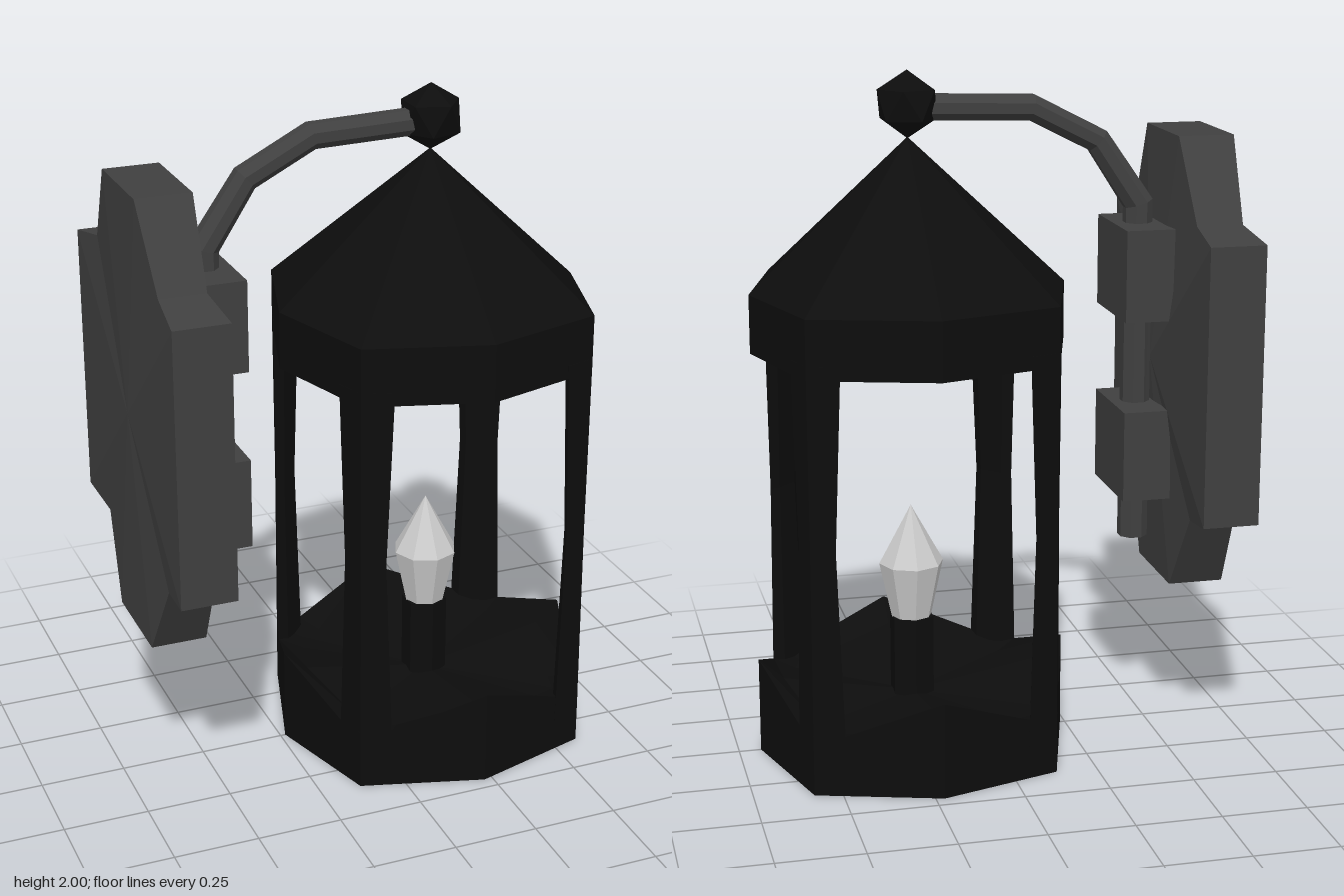
import * as THREE from 'three';

const V = (x, y, z) => new THREE.Vector3(x, y, z);
const mat = (color) => new THREE.MeshStandardMaterial({ color, flatShading: true });

// Skin a list of equal-length rings (counter-clockwise seen from the end), capped with fans
function loft(rings, startCentre, endCentre) {
  const pos = [];
  const tri = (...pts) => pts.forEach((p) => pos.push(p.x, p.y, p.z));
  const mean = (ring) => ring.reduce((s, p) => s.add(p), V(0, 0, 0)).divideScalar(ring.length);
  const first = rings[0], last = rings[rings.length - 1], n = first.length;
  const c0 = startCentre ?? mean(first), c1 = endCentre ?? mean(last);
  for (let i = 0; i < n; i++) {
    const j = (i + 1) % n;
    for (let k = 0; k + 1 < rings.length; k++) {
      const a = rings[k], b = rings[k + 1];
      tri(a[i], a[j], b[j]);
      tri(a[i], b[j], b[i]);
    }
    tri(first[j], first[i], c0);
    tri(last[i], last[j], c1);
  }
  const g = new THREE.BufferGeometry();
  g.setAttribute('position', new THREE.Float32BufferAttribute(pos, 3));
  g.computeVertexNormals();
  return g;
}

// Repeat quarter-plan corners [x, z, y] four times around the vertical axis
function around(quarter) {
  const ring = [];
  for (let q = 0; q < 4; q++) {
    for (const [x, z, y] of quarter) {
      ring.push([V(x, y, z), V(z, y, -x), V(-x, y, -z), V(-z, y, x)][q]);
    }
  }
  return ring;
}

export function createModel() {
  const model = new THREE.Group();
  const black = mat(0x0d0d0d), iron = mat(0x404040), glass = mat(0xcccccc);
  const add = (parent, name, geo, material, x = 0, y = 0, z = 0) => {
    const m = new THREE.Mesh(geo, material);
    m.name = name;
    m.position.set(x, y, z);
    parent.add(m);
    return m;
  };

  const lantern = new THREE.Group();
  lantern.name = 'lantern';
  lantern.position.x = 0.225;
  model.add(lantern);

  // Roof: pointed octagon above a straight rim
  const octagon = (y, s = 1) => around([[0.46 * s, 0, y], [0.355 * s, -0.355 * s, y]]);
  add(lantern, 'roof', loft([octagon(1.21), octagon(1.38), octagon(1.81, 0.005)]), black);

  // Base: wall rising to a peak midway between the posts, dished floor inside
  const plan = [[0.46, 0], [0.38, -0.27], [0.355, -0.355], [0.27, -0.38]];
  const baseRing = (s, peak, low) =>
    around(plan.map(([x, z], i) => [x * s, z * s, i === 0 ? peak : low]));
  add(lantern, 'base', loft(
    [baseRing(1, 0, 0), baseRing(1, 0.285, 0.18), baseRing(0.84, 0.22, 0.16)],
    V(0, 0, 0), V(0, 0.15, 0)), black);

  // Corner posts: wrapped around the corner, slimmer at mid height
  const section = [[0.383, -0.265], [0.355, -0.355], [0.265, -0.383], [0.275, -0.345], [0.345, -0.275]];
  const postRing = (y, s) => section.map(([x, z]) =>
    V(0.347 + (x - 0.347) * s, y, -0.347 + (z + 0.347) * s));
  const postGeo = loft([postRing(0.1, 1), postRing(0.72, 0.76), postRing(1.25, 1)]);
  for (let q = 0; q < 4; q++) {
    add(lantern, 'cornerPost', postGeo, black).rotation.y = q * Math.PI / 2;
  }

  // Candle holder and flame-shaped bulb
  add(lantern, 'bulbHolder', new THREE.CylinderGeometry(0.068, 0.068, 0.27, 6), black, 0, 0.255, 0);
  const bulbProfile = [[0, 0.38], [0.058, 0.38], [0.096, 0.555], [0, 0.73]];
  add(lantern, 'bulb',
    new THREE.LatheGeometry(bulbProfile.map(([r, y]) => new THREE.Vector2(r, y)), 8), glass);

  // Finial, standing on one corner
  const finial = new THREE.IcosahedronGeometry(0.096, 0);
  finial.rotateZ(-Math.atan(2 / (1 + Math.sqrt(5))));
  add(lantern, 'finial', finial, black, 0, 1.904, 0);

  // Bent arm: octagonal rod with mitred joints
  const path = [[-0.455, 0.59], [-0.455, 1.6], [-0.33, 1.785], [-0.135, 1.885], [0.2, 1.895]]
    .map(([x, y]) => new THREE.Vector2(x, y));
  const armRings = path.map((p, i) => {
    const before = p.clone().sub(path[Math.max(i - 1, 0)]).normalize();
    const after = path[Math.min(i + 1, path.length - 1)].clone().sub(p).normalize();
    const t = before.add(after).normalize();
    const r = i < 2 ? 0.045 : 0.04;
    return Array.from({ length: 8 }, (_, k) => {
      const a = (k + 0.5) * Math.PI / 4, c = r * Math.cos(a);
      return V(p.x + t.y * c, p.y - t.x * c, -r * Math.sin(a));
    });
  });
  add(model, 'arm', loft(armRings), iron);

  // Wall plate: notched outline with a slightly raised front
  const half = [[1.81, 0.15], [1.575, 0.29], [1.545, 0.45], [0.74, 0.45], [0.715, 0.29], [0.475, 0.15]];
  const outline = [...half, ...half.map(([y, z]) => [y, -z]).reverse()];
  const plateRing = (x, notchX) => outline.map(([y, z]) =>
    V(Math.abs(z) === 0.29 ? notchX : x, y, z));
  add(model, 'wallPlate', loft([plateRing(-0.69, -0.675), plateRing(-0.527, -0.54)],
    V(-0.69, 1.142, 0), V(-0.5, 1.142, 0)), iron);

  // Brackets gripping the arm
  for (const y of [1.41, 0.875]) {
    add(model, 'bracket', new THREE.BoxGeometry(0.16, 0.268, 0.3), iron, -0.46, y, 0);
  }
  return model;
}
